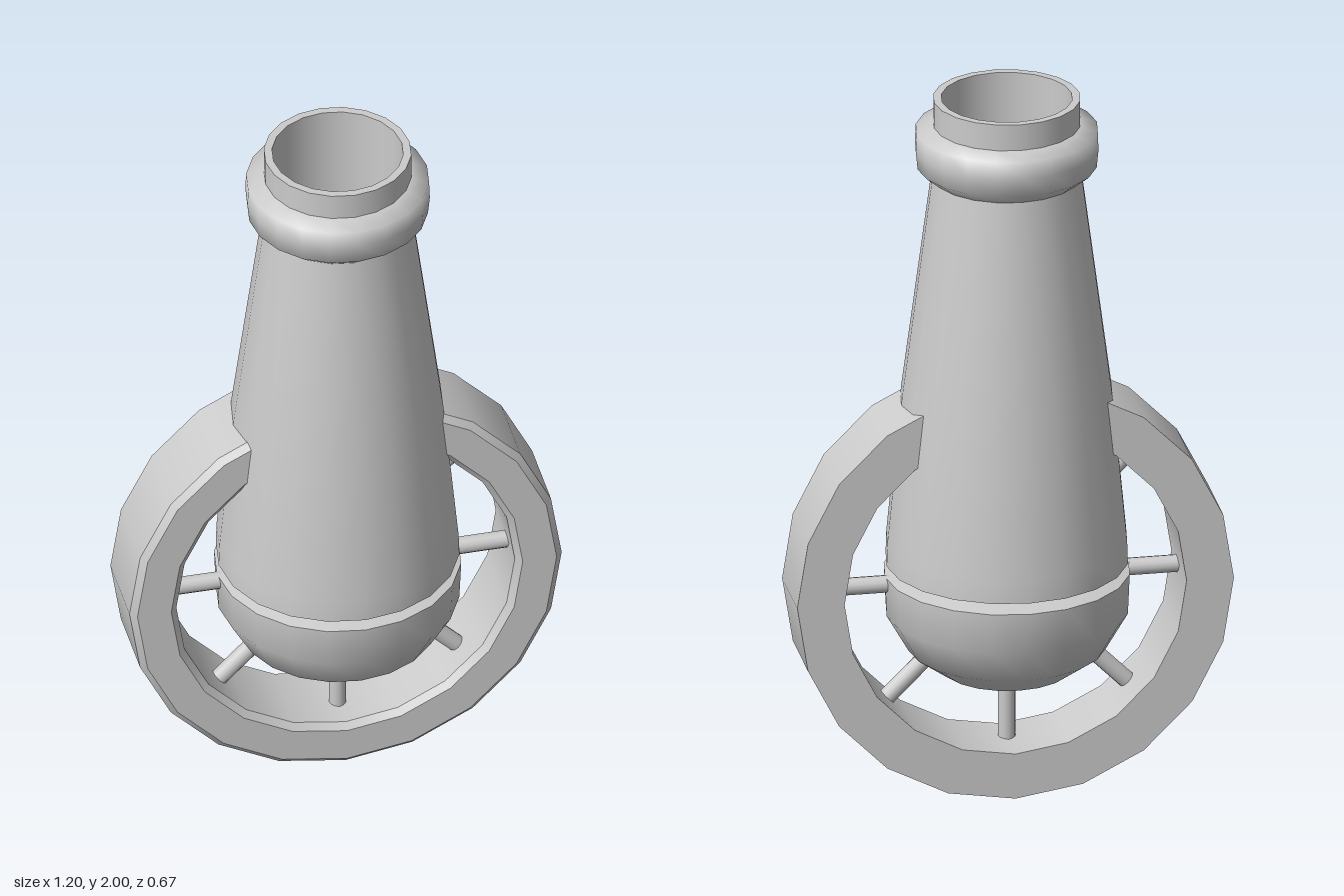
import * as THREE from 'three';

const SIDES = 20;
const material = new THREE.MeshStandardMaterial({ color: 0xcccccc, side: THREE.DoubleSide });

// Turned part: each run of [radius, height] points is smooth, with sharp edges between runs
function turned(name, runs) {
  const group = new THREE.Group();
  group.name = name;
  for (const run of runs) {
    const points = run.map(([r, y]) => new THREE.Vector2(r, y));
    const mesh = new THREE.Mesh(new THREE.LatheGeometry(points, SIDES), material);
    mesh.name = name;
    group.add(mesh);
  }
  return group;
}

export function createModel() {
  const model = new THREE.Group();
  model.name = 'wheeledCannon';

  // Rounded breech with a flat base and the groove above it
  model.add(turned('breech', [
    [[0, 0.34], [0.18, 0.34]],
    [[0.18, 0.34], [0.27, 0.405], [0.33, 0.51], [0.335, 0.625]],
    [[0.335, 0.625], [0.26, 0.642]],
    [[0.26, 0.642], [0.33, 0.655]],
  ]));

  // Tapering barrel
  model.add(turned('barrel', [
    [[0.33, 0.655], [0.328, 0.72], [0.287, 1.15], [0.205, 1.775]],
  ]));

  // Swollen collar, lip and hollow bore
  model.add(turned('muzzle', [
    [[0.205, 1.775], [0.245, 1.808], [0.25, 1.86], [0.248, 1.91], [0.2, 1.925]],
    [[0.2, 1.925], [0.2, 2]],
    [[0.2, 2], [0.178, 2]],
    [[0.178, 2], [0.178, 1.5]],
    [[0.178, 1.5], [0, 1.5]],
  ]));

  // Wheel: rim bevelled on its front edges only, plus radial spokes
  const wheel = new THREE.Group();
  wheel.name = 'wheel';
  wheel.position.y = 0.605;
  const rim = turned('rim', [
    [[0.47, -0.13], [0.6, -0.13]],
    [[0.6, -0.13], [0.6, 0.093]],
    [[0.6, 0.093], [0.582, 0.11]],
    [[0.582, 0.11], [0.488, 0.11]],
    [[0.488, 0.11], [0.47, 0.093]],
    [[0.47, 0.093], [0.47, -0.13]],
  ]);
  rim.rotation.x = Math.PI / 2;
  wheel.add(rim);

  const spokeGeometry = new THREE.CylinderGeometry(0.024, 0.024, 0.5, 12);
  spokeGeometry.translate(0, 0.25, 0);
  for (let i = 0; i < 8; i++) {
    const spoke = new THREE.Mesh(spokeGeometry, material);
    spoke.name = 'spoke';
    spoke.rotation.z = i * Math.PI / 4;
    wheel.add(spoke);
  }
  model.add(wheel);

  return model;
}
